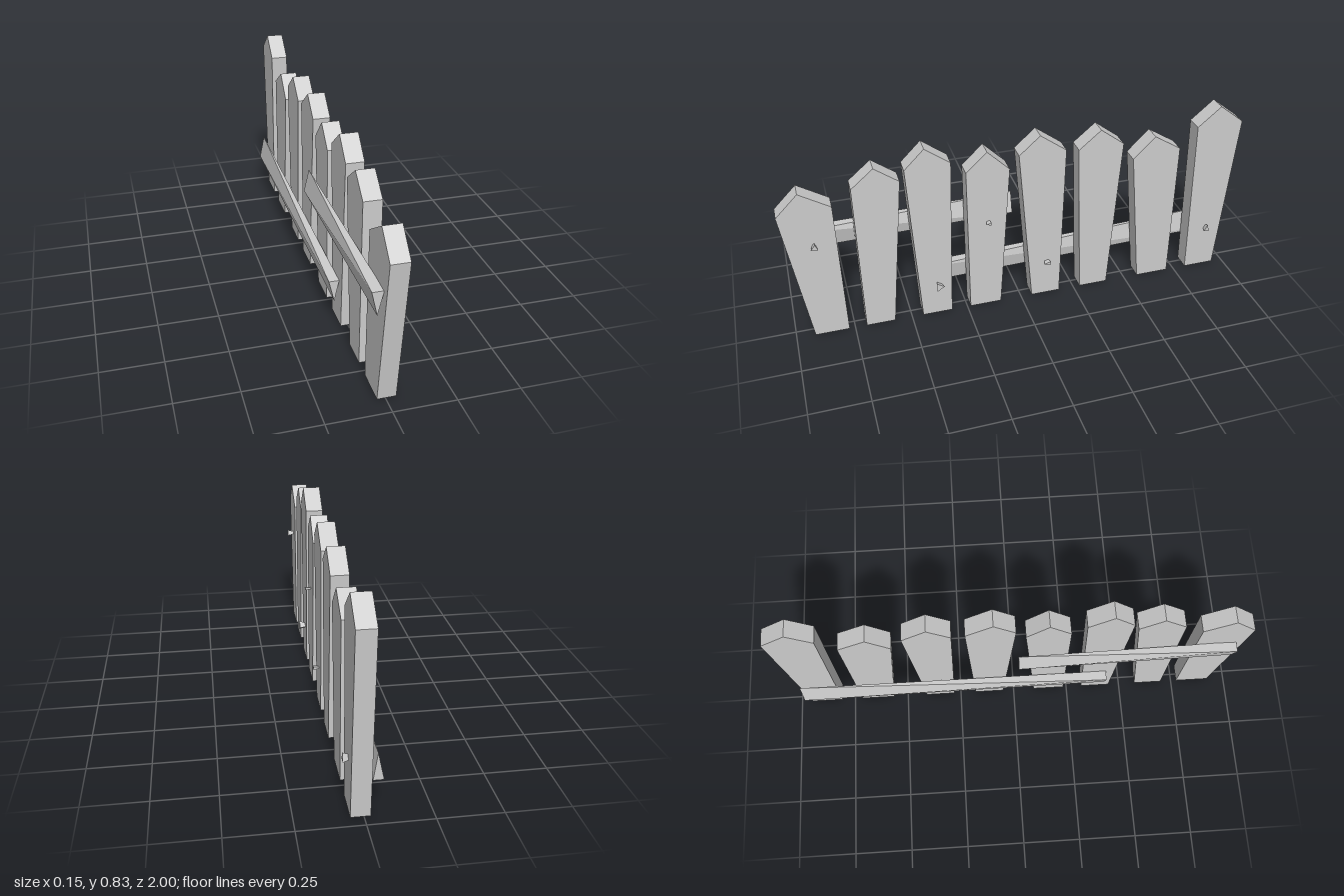
import * as THREE from 'three';
import { ConvexGeometry } from 'three/addons/geometries/ConvexGeometry.js';

const material = new THREE.MeshStandardMaterial({ color: 0xcccccc, flatShading: true, side: THREE.DoubleSide });
const V = (x, y, z) => new THREE.Vector3(x, y, z);

// Per picket: bottom z, shoulder z/y, peak z/y, shoulder z/y, bottom z
const PICKETS = [
  [0.92, 1.0, 0.615, 0.905, 0.71, 0.78, 0.63, 0.775],
  [0.7, 0.7, 0.695, 0.605, 0.775, 0.505, 0.7, 0.575],
  [0.45, 0.485, 0.745, 0.4, 0.83, 0.295, 0.75, 0.32],
  [0.235, 0.235, 0.69, 0.145, 0.775, 0.05, 0.68, 0.095],
  [-0.05, 0.01, 0.735, -0.08, 0.815, -0.195, 0.73, -0.18],
  [-0.28, -0.25, 0.72, -0.345, 0.8, -0.45, 0.72, -0.41],
  [-0.565, -0.5, 0.635, -0.595, 0.73, -0.715, 0.655, -0.715],
  [-0.81, -0.79, 0.745, -0.89, 0.83, -1.0, 0.745, -0.95],
];

// Pointed board, hollow at the foot
function picketGeometry([b0, z0, y0, zp, yp, z1, y1, b1]) {
  const shape = new THREE.Shape([[b0, 0], [b1, 0], [z1, y1], [zp, yp], [z0, y0]]
    .map(([z, y]) => new THREE.Vector2(-z, y)));
  const solid = new THREE.ExtrudeGeometry(shape, { depth: 0.074, bevelEnabled: false }).rotateY(Math.PI / 2);
  const p = solid.attributes.position;
  const kept = [];
  for (let i = 0; i < p.count; i += 3) {
    const tri = [i, i + 1, i + 2];
    if (tri.every((k) => Math.abs(p.getY(k)) < 1e-5)) continue; // drop the foot face
    // the row of boards runs very slightly askew
    for (const k of tri) kept.push(p.getX(k) - 0.0285 - 0.004 * p.getZ(k), p.getY(k), p.getZ(k));
  }
  const g = new THREE.BufferGeometry();
  g.setAttribute('position', new THREE.Float32BufferAttribute(kept, 3));
  g.computeVertexNormals();
  return g;
}

// Rail: triangle pointing down at the front end, pointing up at the rear end
function railGeometry(front, rear) {
  return new ConvexGeometry([
    V(front.x0, front.base, front.z), V(-0.03, front.base, front.z), V(front.tipX, front.tip, front.z),
    V(rear.x0, rear.base, rear.z), V(-0.028, rear.base, rear.z), V(rear.tipX, rear.tip, rear.z),
  ]);
}

export function createModel() {
  const group = new THREE.Group();
  const add = (name, geometry) => {
    const mesh = new THREE.Mesh(geometry, material);
    mesh.name = name;
    group.add(mesh);
    return mesh;
  };

  PICKETS.forEach((p, i) => add(`picket${i + 1}`, picketGeometry(p)));

  add('upperRail', railGeometry(
    { z: 0.95, x0: -0.075, base: 0.485, tipX: -0.053, tip: 0.388 },
    { z: 0.02, x0: -0.072, base: 0.415, tipX: -0.05, tip: 0.512 }));
  add('lowerRail', railGeometry(
    { z: 0.42, x0: -0.073, base: 0.2, tipX: -0.05, tip: 0.105 },
    { z: -0.955, x0: -0.068, base: 0.15, tipX: -0.045, tip: 0.26 }));

  // Three-sided nails, wider at the head: z, y, height, width, turn
  [
    [0.87, 0.465, 0.028, 0.03, 0.4],
    [0.375, 0.155, 0.042, 0.04, Math.PI],
    [0.145, 0.44, 0.014, 0.025, 0],
    [-0.12, 0.178, 0.015, 0.035, 0],
    [-0.89, 0.21, 0.038, 0.025, 0.4],
  ].forEach(([z, y, h, w, turn], i) => {
    const g = new THREE.CylinderGeometry(0.58, 0.3, 0.028, 3)
      .rotateZ(-Math.PI / 2).rotateX(turn).scale(1, h, w);
    add(`nail${i + 1}`, g).position.set(0.056, y, z);
  });

  return group;
}
